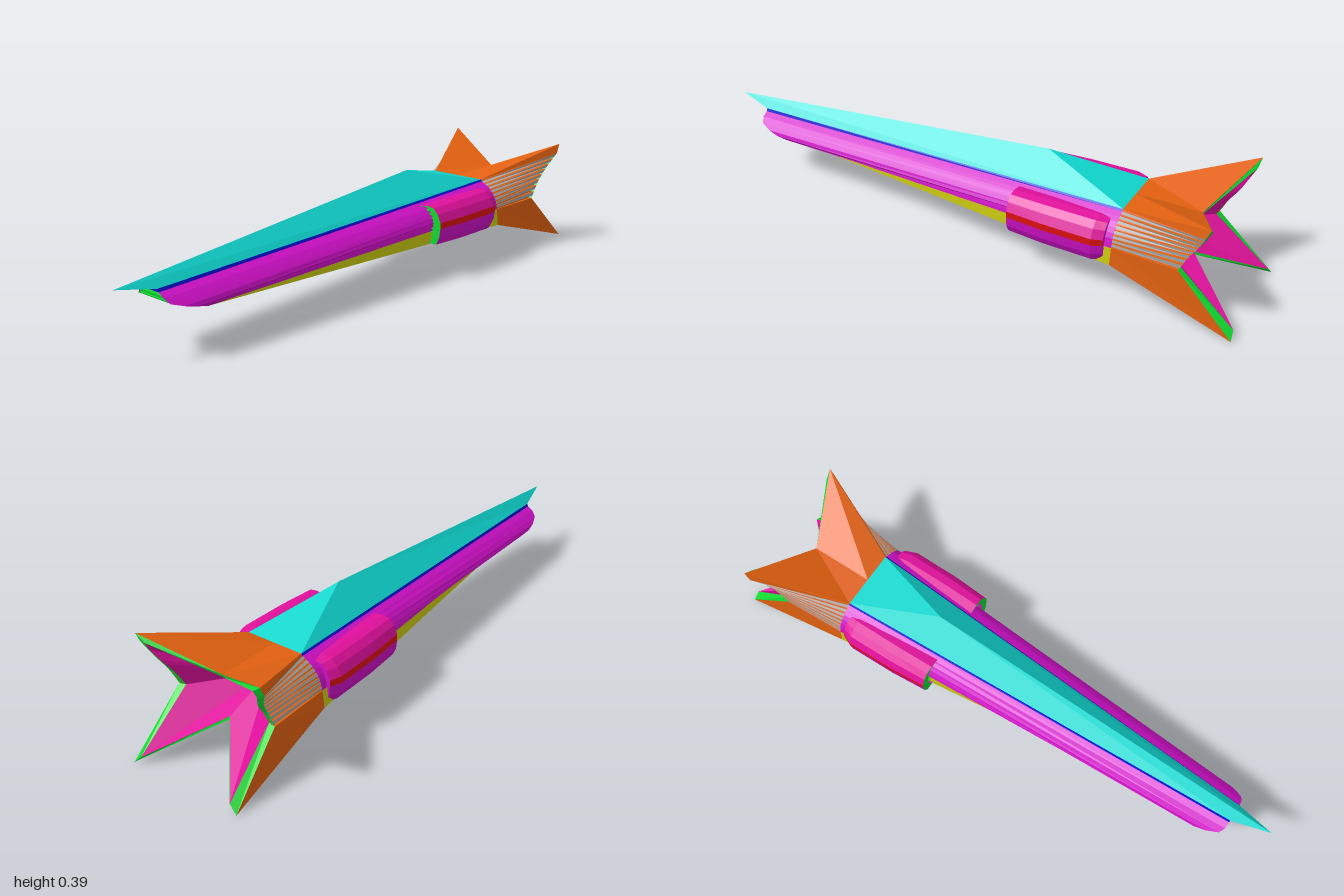
import * as THREE from 'three';

const COLORS = {
  cyan: 0x10d8d0, blue: 0x0a10d0, magenta: 0xd010c8, yellow: 0xc8c810,
  orange: 0xe06010, green: 0x10d830, pink: 0xe0109c, red: 0xe01010, grey: 0xaaaaaa,
};
const mats = {};
const mat = (c) => (mats[c] ??= new THREE.MeshStandardMaterial({
  color: COLORS[c], flatShading: true, side: THREE.DoubleSide,
}));
const v = (x, y, z) => new THREE.Vector3(x, y, z);
const flip = (p) => v(-p.x, p.y, p.z);

// Flat-faced skin stretched over consecutive rows of points
function skin(rows) {
  const pos = [];
  const tri = (a, b, c) => pos.push(...a, ...b, ...c);
  for (let i = 0; i + 1 < rows.length; i++) {
    for (let j = 0; j + 1 < rows[i].length; j++) {
      const a = rows[i][j], b = rows[i][j + 1], c = rows[i + 1][j + 1], d = rows[i + 1][j];
      tri(a, b, c);
      tri(a, c, d);
    }
  }
  const g = new THREE.BufferGeometry();
  g.setAttribute('position', new THREE.Float32BufferAttribute(pos, 3));
  g.computeVertexNormals();
  return g;
}

export function createModel() {
  const model = new THREE.Group();
  const add = (name, color, rows) => {
    const m = new THREE.Mesh(skin(rows), mat(color));
    m.name = name;
    model.add(m);
  };
  // Adds the part and its mirror image across x = 0
  const pair = (name, color, rows) => {
    add(name + 'Left', color, rows);
    add(name + 'Right', color, rows.map((r) => r.map(flip).reverse()));
  };

  // Upper deck: long ridge from nose tip to peak, then a flat slope to the tail
  const tip = v(0, 0.25, 1), peak = v(0, 0.362, -0.28);
  const lip = v(0.03, 0.227, 0.87), shoulder = v(0.105, 0.287, -0.59);
  pair('deckSide', 'cyan', [[tip, peak], [lip, shoulder]]);
  add('deckRear', 'cyan', [[peak, peak], [shoulder, flip(shoulder)]]);
  add('noseUnderside', 'cyan', [[tip, tip], [lip, flip(lip)]]);

  // Blue seam under the deck
  const seamFront = v(0.034, 0.217, 0.87), seamRear = v(0.11, 0.281, -0.59);
  pair('deckSeam', 'blue', [[lip, shoulder], [seamFront, seamRear]]);
  add('noseSeam', 'blue', [[lip, flip(lip)], [seamFront, flip(seamFront)]]);

  // Hull sides: rounded, swept-back mouth blending into the rear section
  const mouth = [
    seamFront, v(0.055, 0.204, 0.87), v(0.073, 0.188, 0.86), v(0.088, 0.175, 0.82),
    v(0.094, 0.165, 0.78), v(0.086, 0.154, 0.745), v(0.062, 0.14, 0.715), v(0.038, 0.128, 0.69),
  ];
  const rearCurve = new THREE.CatmullRomCurve3([
    seamRear, v(0.148, 0.257, -0.59), v(0.173, 0.222, -0.59), v(0.182, 0.187, -0.59),
  ]);
  pair('hullSide', 'magenta', [mouth, rearCurve.getPoints(mouth.length - 1)]);
  const keelFront = mouth[7], chine = v(0.182, 0.187, -0.59), keelRear = v(0.187, 0.127, -0.59);
  pair('lowerPanel', 'yellow', [[keelFront, chine], [keelFront, keelRear]]);
  add('hullBottom', 'magenta', [[keelFront, flip(keelFront)], [keelRear, flip(keelRear)]]);

  // Nose intake: stepped louvres inside the mouth, blue lower lip
  const mouthAt = (y) => {
    let i = 0;
    while (i < mouth.length - 2 && mouth[i + 1].y > y) i++;
    const a = mouth[i], b = mouth[i + 1];
    return a.clone().lerp(b, (y - a.y) / (b.y - a.y));
  };
  const louvres = [];
  for (let i = 0; i <= 8; i++) {
    const p = mouthAt(0.217 - i * 0.0078);
    const q = v(p.x * 0.97, p.y, p.z - 0.05);
    louvres.push(...(i % 2 ? [q, p] : [p, q]).map((s) => [s, flip(s)]));
  }
  add('noseLouvres', 'green', louvres);
  add('noseLowerLip', 'blue', mouth.slice(5).map((p) => [p, flip(p)]));

  // Tail: four flared fins
  const topNotch = v(0, 0.287, -0.81), upperTip = v(0.24, 0.39, -0.91);
  const bottomNotch = v(0, 0.127, -0.8), lowerTip = v(0.205, 0.003, -1);
  const tailCurve = new THREE.CatmullRomCurve3([
    v(0.24, 0.355, -0.895), v(0.212, 0.3, -0.87), v(0.198, 0.25, -0.84), v(0.19, 0.187, -0.81),
  ]);
  const sideNotch = tailCurve.getPoint(1);
  pair('upperFinTop', 'orange', [[v(0, 0.287, -0.59), topNotch], [shoulder, upperTip]]);
  pair('upperFinEdge', 'orange', [[shoulder, upperTip], [seamRear, tailCurve.getPoint(0)]]);
  pair('lowerFinSide', 'orange', [[chine, sideNotch], [keelRear, lowerTip]]);
  pair('lowerFinBottom', 'orange', [[keelRear, lowerTip], [v(0, 0.127, -0.59), bottomNotch]]);

  // Grey ribs and grooves fanning along the upper fin sides
  const RIBS = 8;
  const rib = (t, depth) => {
    const b = rearCurve.getPoint(t), e = tailCurve.getPoint(t);
    b.x -= depth * 0.3;
    e.x -= depth;
    return [b, e];
  };
  for (let i = 0; i < RIBS; i++) {
    const t0 = i / RIBS, t1 = (i + 0.6) / RIBS, t2 = (i + 1) / RIBS;
    pair('finRib' + (i + 1), 'grey', [rib(t0, 0), rib(t1, 0), rib(t1, 0.012)]);
    pair('finGroove' + (i + 1), 'orange', [rib(t1, 0.012), rib(t2, 0.012), rib(t2, 0)]);
  }

  // Tail opening: green rim around a hollow pink interior
  const outline = [topNotch, upperTip, ...tailCurve.getPoints(8), lowerTip, bottomNotch];
  const inset = outline.map((p) => v(p.x * 0.87, 0.2 + (p.y - 0.2) * 0.87, p.z + 0.004));
  const core = inset.map(() => v(0, 0.2, -0.62));
  pair('tailRim', 'green', [outline, inset]);
  pair('tailInterior', 'pink', [inset, core]);

  // Side pods
  const profile = [
    [0.1, 0.262], [0.14, 0.268], [0.17, 0.263], [0.191, 0.243], [0.205, 0.213],
    [0.205, 0.19], [0.2, 0.155], [0.186, 0.128], [0.14, 0.128],
  ];
  const podRow = (z, s) => profile.map(([x, y]) => v(0.1 + (x - 0.1) * s, 0.2 + (y - 0.2) * (s + 1) / 2, z));
  const podRows = [podRow(-0.23, 0.89), podRow(-0.36, 0.98), podRow(-0.53, 1), podRow(-0.565, 0.86)];
  const part = (a, b) => podRows.map((r) => r.slice(a, b + 1));
  pair('podUpper', 'pink', part(0, 4));
  pair('podStripe', 'red', part(4, 5));
  pair('podLower', 'magenta', part(5, 8));
  const hub = (z) => profile.map(() => v(0.12, 0.2, z));
  pair('podBack', 'magenta', [podRows[3], hub(-0.565)]);
  const rimInner = podRows[0].map((p) => v(0.1 + (p.x - 0.1) * 0.68, 0.2 + (p.y - 0.2) * 0.93, p.z));
  const wall = rimInner.map((p) => v(p.x, p.y, -0.28));
  pair('podRim', 'green', [podRows[0], rimInner]);
  pair('podThroat', 'magenta', [rimInner, wall, hub(-0.28)]);

  // Pod intake slats
  const slat = new THREE.BoxGeometry(0.05, 0.005, 0.03);
  for (const s of [1, -1]) {
    for (let i = 0; i < 9; i++) {
      const m = new THREE.Mesh(slat, mat('green'));
      m.name = 'podSlat';
      m.position.set(s * 0.132, 0.145 + i * 0.0125, -0.255);
      model.add(m);
    }
  }
  return model;
}
